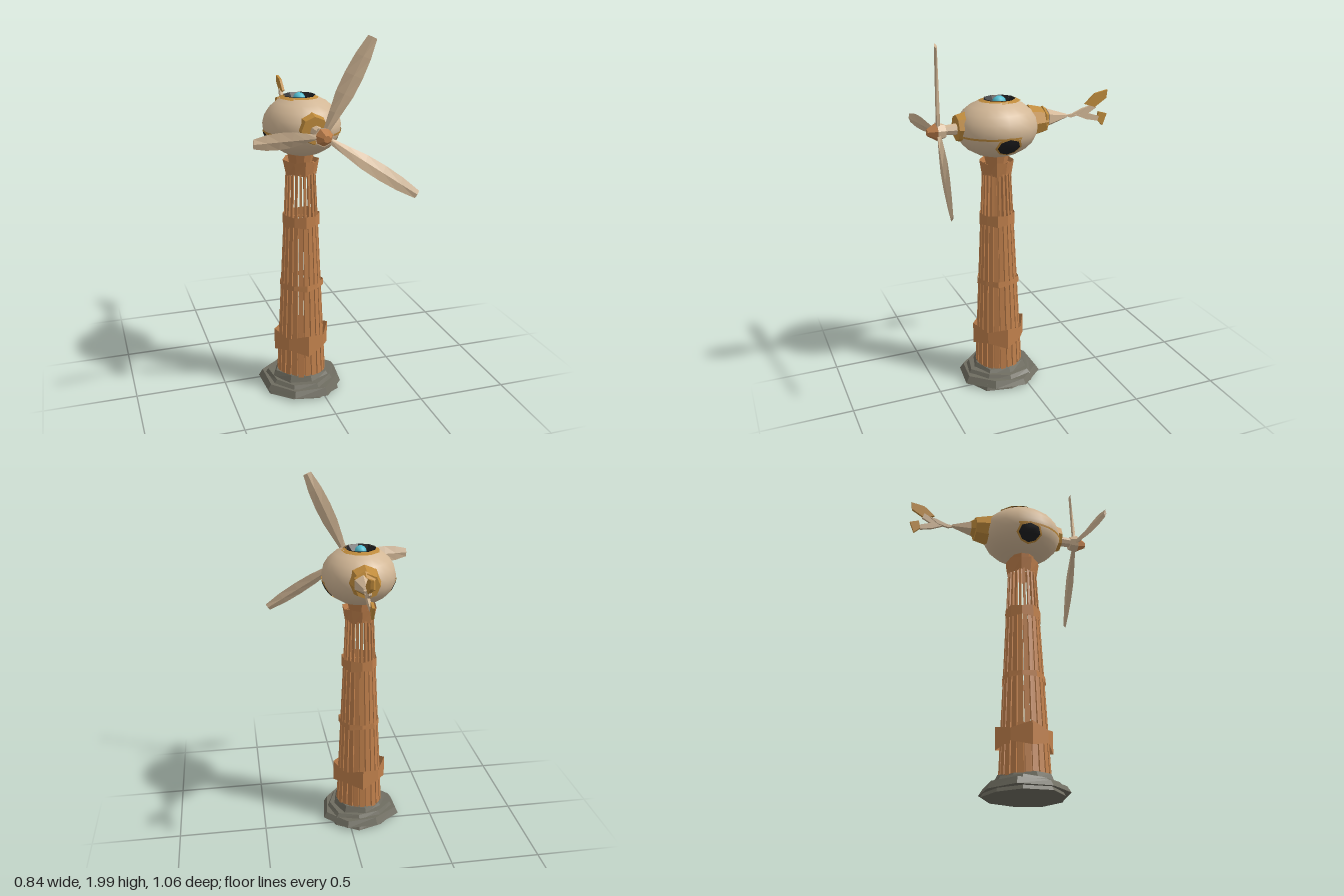
import * as THREE from 'three';

const mat = (name, color, side = THREE.FrontSide) => new THREE.MeshStandardMaterial({ name, color, side });

export function createModel() {
  const model = new THREE.Group();
  model.name = 'windTower';
  const D = THREE.DoubleSide;
  const beige = mat('beigeShell', 0xd2b796, D);
  const copper = mat('copperWood', 0xc0804c, D);
  const gold = mat('goldTrim', 0xbf8b3c, D);
  const black = mat('blackInterior', 0x1d1d1f, D);
  const cyan = mat('cyanCore', 0x52bfd2);
  const stone = mat('greyStone', 0x6f6d61);

  const add = (parent, name, geo, material, x = 0, y = 0, z = 0) => {
    const m = new THREE.Mesh(geo, material);
    m.name = name;
    m.position.set(x, y, z);
    parent.add(m);
    return m;
  };
  const flat = (geo) => {
    const g = geo.index ? geo.toNonIndexed() : geo;
    g.computeVertexNormals();
    return g;
  };
  const warp = (geo, rule) => {
    const p = geo.attributes.position, v = new THREE.Vector3();
    for (let i = 0; i < p.count; i++) {
      rule(v.fromBufferAttribute(p, i));
      p.setXYZ(i, v.x, v.y, v.z);
    }
    geo.computeVertexNormals();
    return geo;
  };

  // Stone base: stacked uneven slabs
  const tower = new THREE.Group();
  tower.name = 'tower';
  tower.position.set(-0.077, 0, 0.112);
  model.add(tower);
  [[0, 0.03, 0.215, 0.2, 9, 0.2], [0.02, 0.035, 0.236, 0.215, 8, 0.35],
   [0.045, 0.03, 0.2, 0.18, 9, 0.9], [0.065, 0.038, 0.165, 0.145, 8, 0.1]].forEach(([y, h, rb, rt, n, turn], i) => {
    const g = warp(new THREE.CylinderGeometry(rt, rb, h, n), (v) => {
      const a = Math.atan2(v.x, v.z), k = 1 + 0.05 * Math.sin(a * 3 + i * 2);
      v.x *= k;
      v.z *= k;
      if (v.y > 0) v.y += 0.006 * Math.sin(a * 2 + i);
    });
    add(tower, 'baseSlab', flat(g), stone, 0, y + h / 2, 0).rotation.y = turn;
  });

  // Tapering ring of slats, wide below the upper band and slender above
  const radiusAt = (y) => 0.135 - 0.057 * (y - 0.09) / 1.2;
  const slats = 22;
  const slatTier = (y0, y1, cover, name) => {
    for (let i = 0; i < slats; i++) {
      const g = warp(new THREE.BoxGeometry(1, y1 - y0, 0.01), (v) => {
        const r = radiusAt(v.y + (y0 + y1) / 2);
        v.x *= cover * 2 * Math.PI * r / slats;
        v.z += r - 0.005;
      });
      add(tower, name, flat(g), copper, 0, (y0 + y1) / 2, 0).rotation.y = i * 2 * Math.PI / slats;
    }
  };
  slatTier(0.08, 0.98, 0.8, 'lowerSlat');
  slatTier(0.98, 1.3, 0.5, 'upperSlat');
  add(tower, 'foot', new THREE.CylinderGeometry(0.113, 0.123, 0.28, 22, 1, true), copper, 0, 0.22, 0);

  // Bands around the slats, with a wavy radius and height
  const band = (name, y, h, rb, rt, wave, n = 10) => {
    const g = warp(new THREE.CylinderGeometry(rt, rb, h, n, 1, true), (v) => {
      const a = Math.atan2(v.x, v.z), s = Math.cos(a * n / 2);
      v.x *= 1 + wave * 0.4 * s;
      v.z *= 1 + wave * 0.4 * s;
      v.y *= 1 + wave * 2.5 * s;
    });
    add(tower, name, flat(g), copper, 0, y, 0);
  };
  band('lowerWrap', 0.295, 0.095, 0.147, 0.147, 0.12, 8);
  band('middleBand', 0.625, 0.03, 0.12, 0.118, 0.08);
  band('upperBand', 0.995, 0.06, 0.1, 0.1, 0.06);
  band('topCollar', 1.285, 0.075, 0.082, 0.096, 0.05);
  band('neck', 1.34, 0.07, 0.06, 0.075, 0);

  // Ellipsoid body, open at the top
  const body = new THREE.Group();
  body.name = 'body';
  body.position.set(-0.07, 1.505, 0.11);
  model.add(body);
  const R = new THREE.Vector3(0.203, 0.16, 0.225);
  const zone = (a0, a1, steps, k, segs = 20) => {
    const pts = [];
    for (let i = 0; i <= steps; i++) {
      const a = a0 + (a1 - a0) * i / steps;
      pts.push(new THREE.Vector2(Math.max(0, Math.cos(a)) * k, Math.sin(a) * k));
    }
    return new THREE.LatheGeometry(pts, segs).scale(R.x, R.y, R.z);
  };
  add(body, 'shell', zone(-Math.PI / 2, 1.13, 10, 1), beige);
  const top = new THREE.Group();
  top.name = 'topOpening';
  top.position.set(-0.007, 0, -0.018);
  body.add(top);
  add(top, 'openingRim', zone(1.03, 1.17, 2, 1.018, 9), gold);
  const bowl = [[0, 0.11], [0.06, 0.12], [0.086, 0.153]].map(([r, y]) => new THREE.Vector2(r, y));
  add(top, 'darkBowl', flat(new THREE.LatheGeometry(bowl, 9)), black);
  add(top, 'glowCore', new THREE.SphereGeometry(1, 10, 8).scale(0.032, 0.03, 0.037), cyan, 0, 0.135, 0);

  // Side windows and their rims, wrapped onto the ellipsoid
  const wrapped = (r0, r1, side, k) => warp(new THREE.RingGeometry(r0, r1, 8, 3), (v) => {
    const lon = v.x * 0.31, lat = -0.47 + v.y * 0.32;
    v.set(side * R.x * Math.cos(lat) * Math.cos(lon), R.y * Math.sin(lat), R.z * Math.cos(lat) * Math.sin(lon))
      .multiplyScalar(k);
  });
  for (const side of [1, -1]) {
    add(body, 'sideWindow', wrapped(0, 1, side, 1.015), black);
    add(body, 'windowRim', wrapped(1, 1.2, side, 1.012), gold);
    // Trim line towards the front
    const start = side > 0 ? Math.PI / 2 + 0.2 : -0.3;
    add(body, 'trimLine', new THREE.SphereGeometry(1.01, 12, 1, start, 1.67, 1.68, 0.07).scale(R.x, R.y, R.z), gold);
  }

  // Front and rear gold collars, shaft and hub, all along z
  const along = (name, material, z0, z1, r0, r1, n = 8, x = -0.07, y = 1.52) =>
    add(model, name, flat(new THREE.CylinderGeometry(r1, r0, z1 - z0, n).rotateX(Math.PI / 2)), material, x, y, (z0 + z1) / 2);
  along('frontCollar', gold, 0.265, 0.34, 0.088, 0.07);
  along('shaft', beige, 0.33, 0.43, 0.032, 0.024, 8, -0.065, 1.515);
  along('hub', beige, 0.405, 0.45, 0.038, 0.05, 7, -0.06, 1.512);
  along('hubNose', copper, 0.45, 0.5, 0.046, 0.018, 7, -0.06, 1.512);
  along('rearCollar', gold, -0.165, -0.07, 0.068, 0.09);
  along('rearPlate', gold, -0.185, -0.15, 0.045, 0.07, 6, -0.06, 1.53);
  along('tailCone', beige, -0.29, -0.17, 0.01, 0.05, 6, -0.045, 1.535);

  // Rotor blades: twisted thin sections, leaning forward to the tips
  const widths = [0.016, 0.03, 0.044, 0.046, 0.04, 0.024];
  const blade = (angle, length, lean, wide) => {
    const g = warp(new THREE.CylinderGeometry(1, 1, 1, 4, 5), (v) => {
      const t = v.y + 0.5, w = widths[Math.round(t * 5)] * wide, twist = 0.5 - 0.4 * t;
      const x = v.x * w, z = v.z * (0.012 - 0.005 * t);
      v.set(x * Math.cos(twist) - z * Math.sin(twist), 0.03 + t * (length - 0.03),
        x * Math.sin(twist) + z * Math.cos(twist) + lean * t);
    });
    add(model, 'blade', flat(g), beige, -0.06, 1.512, 0.442).rotation.z = angle - Math.PI / 2;
  };
  blade(1.14, 0.52, 0.06, 1);
  blade(-0.585, 0.56, 0.082, 0.9);
  blade(Math.PI, 0.36, 0.05, 1);

  // Forked tail vane: upper and lower fins with gold tips
  const fin = (name, material, x, points) => {
    const shape = new THREE.Shape(points.map(([u, y]) => new THREE.Vector2(u, y)));
    const g = new THREE.ExtrudeGeometry(shape, { depth: 0.014, bevelEnabled: false });
    add(model, name, g.rotateY(Math.PI / 2), material, x, 0, 0);
  };
  fin('tailStem', beige, -0.042, [[0.27, 1.54], [0.31, 1.525], [0.37, 1.54], [0.42, 1.58], [0.38, 1.57], [0.32, 1.545]]);
  fin('upperFin', beige, -0.036, [[0.36, 1.54], [0.4, 1.535], [0.46, 1.57], [0.45, 1.6], [0.4, 1.575]]);
  fin('upperFinTip', gold, -0.032, [[0.39, 1.595], [0.45, 1.575], [0.52, 1.62], [0.525, 1.665], [0.45, 1.65]]);
  fin('lowerFin', beige, -0.036, [[0.33, 1.54], [0.4, 1.51], [0.47, 1.495], [0.48, 1.52], [0.42, 1.54]]);
  fin('lowerFinTip', gold, -0.04, [[0.47, 1.5], [0.505, 1.465], [0.53, 1.53], [0.48, 1.545]]);

  return model;
}
